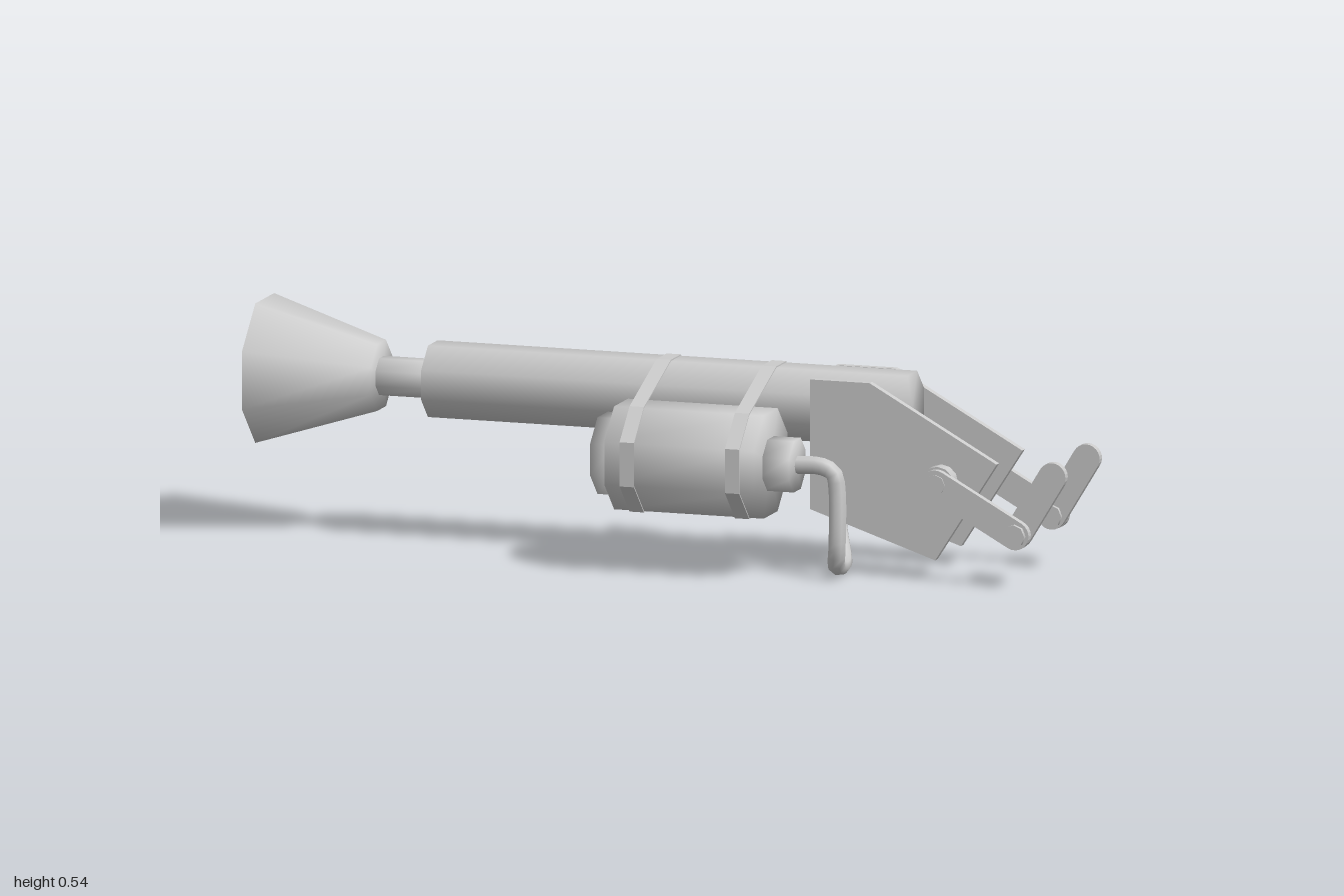
import * as THREE from 'three';

const mat = new THREE.MeshStandardMaterial({ color: 0xcccccc });
const AXIS_Y = 0.378, AXIS_Z = -0.068;   // barrel axis
const TANK_Y = 0.265, TANK_Z = 0.111;    // tank axis
const FLAT = 1 / Math.cos(Math.PI / 8);  // apothem to radius of an octagon

export function createModel() {
  const model = new THREE.Group();

  function add(name, geometry, x = 0, y = 0, z = 0, parent = model) {
    const mesh = new THREE.Mesh(geometry, mat);
    mesh.name = name;
    mesh.position.set(x, y, z);
    parent.add(mesh);
    return mesh;
  }

  // Octagonal solid turned around the x axis; profile is [x, apothem]
  function turned(profile) {
    const pts = profile.map(([x, a]) => new THREE.Vector2(a * FLAT, x));
    return new THREE.LatheGeometry(pts, 8, Math.PI / 8).rotateZ(-Math.PI / 2);
  }
  const rod = (x0, x1, a) => turned([[x0, 0], [x0, a], [x1, a], [x1, 0]]);

  // Flat bar with rounded ends between two points, from z0 to z0 + depth
  function link([ax, ay], [bx, by], r, z0, depth) {
    const t = Math.atan2(by - ay, bx - ax), q = Math.PI / 2;
    const s = new THREE.Shape();
    s.absarc(ax, ay, r, t + q, t + 3 * q, false);
    s.absarc(bx, by, r, t - q, t + q, false);
    return new THREE.ExtrudeGeometry(s, { depth, bevelEnabled: false, curveSegments: 6 })
      .translate(0, 0, z0);
  }

  // Bolt or washer along z
  const pin = (r, z0, z1, sides = 8) => new THREE.CylinderGeometry(r, r, z1 - z0, sides)
    .rotateX(Math.PI / 2).translate(0, 0, (z0 + z1) / 2);

  // Barrel, neck and hollow flared muzzle
  add('barrel', rod(-0.59, 0.58, 0.084), 0, AXIS_Y, AXIS_Z);
  add('neck', rod(-0.73, -0.58, 0.043), 0, AXIS_Y, AXIS_Z);
  add('muzzle', turned([
    [-0.735, 0], [-0.735, 0.066], [-1, 0.15], [-1, 0.164], [-0.715, 0.078], [-0.715, 0],
  ]), 0, AXIS_Y, AXIS_Z);

  // Tank with end caps
  add('tank', rod(-0.07, 0.295, 0.121), 0, TANK_Y, TANK_Z);
  add('tankRearCap', rod(-0.115, -0.06, 0.09), 0, TANK_Y, TANK_Z);
  add('tankOutlet', rod(0.285, 0.36, 0.06), 0, TANK_Y, TANK_Z);

  // Straps wrapped around barrel and tank; outline points are [z, y]
  const outline = [
    [0.162, 0.389], [0.234, 0.317], [0.234, 0.213], [0.162, 0.141], [0.06, 0.141],
    [-0.104, 0.291], [-0.155, 0.342], [-0.155, 0.414], [-0.104, 0.465], [-0.032, 0.465],
  ].map(([z, y]) => new THREE.Vector2(-z, y));
  const centre = new THREE.Vector2(-0.04, 0.3);
  const strapShape = new THREE.Shape(outline);
  strapShape.holes.push(new THREE.Path(outline.map(p => p.clone().lerp(centre, 0.025))));
  for (const x of [-0.032, 0.225]) {
    const strap = new THREE.ExtrudeGeometry(strapShape, { depth: 0.035, bevelEnabled: false });
    add('strap', strap.rotateY(Math.PI / 2), x);
  }

  // Hose looping from the tank outlet up to the underside of the barrel
  const path = [
    [0.35, 0.265, 0.109], [0.42, 0.265, 0.109], [0.448, 0.25, 0.109], [0.456, 0.215, 0.109],
    [0.456, 0.07, 0.109], [0.447, 0.033, 0.088], [0.435, 0.024, 0.0],
    [0.405, 0.09, -0.055], [0.39, 0.2, -0.067], [0.39, 0.28, -0.068],
  ].map(p => new THREE.Vector3(...p));
  const curve = new THREE.CatmullRomCurve3(path, false, 'centripetal');
  add('hose', new THREE.TubeGeometry(curve, 40, 0.021, 8));
  add('hoseSocket', new THREE.CylinderGeometry(0.054, 0.054, 0.06, 8), 0.415, 0.295, AXIS_Z);

  // Side plates with cranked handles, mirrored about the barrel axis
  const plate = new THREE.Shape([
    [0.365, 0.453], [0.51, 0.453], [0.82, 0.28], [0.67, 0.046], [0.365, 0.148],
  ].map(p => new THREE.Vector2(...p)));
  const pivot = [0.686, 0.233], elbow = [0.88, 0.125], tip = [0.965, 0.265];
  for (const side of [1, -1]) {
    const group = new THREE.Group();
    group.name = side > 0 ? 'leftGrip' : 'rightGrip';
    group.position.z = AXIS_Z;
    group.scale.z = side;
    model.add(group);
    const part = (name, geo, [x, y] = [0, 0]) => add(name, geo, x, y, 0, group);
    part('sidePlate', new THREE.ExtrudeGeometry(plate, { depth: 0.019, bevelEnabled: false })
      .translate(0, 0, 0.083));
    part('pivotWasher', pin(0.04, 0.1, 0.134, 12), pivot);
    part('pivotBolt', pin(0.024, 0.1, 0.153), pivot);
    part('arm', link(pivot, elbow, 0.034, 0.132, 0.018));
    part('handle', link(elbow, tip, 0.033, 0.114, 0.018));
    part('elbowBolt', pin(0.027, 0.105, 0.161), elbow);
  }

  // Bracket bolted to the right of the barrel and bent in underneath it
  add('bracketUpright', link([0.1, 0.39], [0.1, 0.35], 0.054, -0.186, 0.018));
  const bend = new THREE.Shape([
    [-0.186, 0.36], [-0.186, 0.3], [-0.152, 0.265], [0.01, 0.265],
    [0.01, 0.283], [-0.145, 0.283], [-0.168, 0.306], [-0.168, 0.36],
  ].map(([z, y]) => new THREE.Vector2(-z, y)));
  add('bracketFoot', new THREE.ExtrudeGeometry(bend, { depth: 0.108, bevelEnabled: false })
    .rotateY(Math.PI / 2), 0.046);
  add('bracketBolt', pin(0.03, -0.197, -0.14), 0.1, 0.383);

  return model;
}
